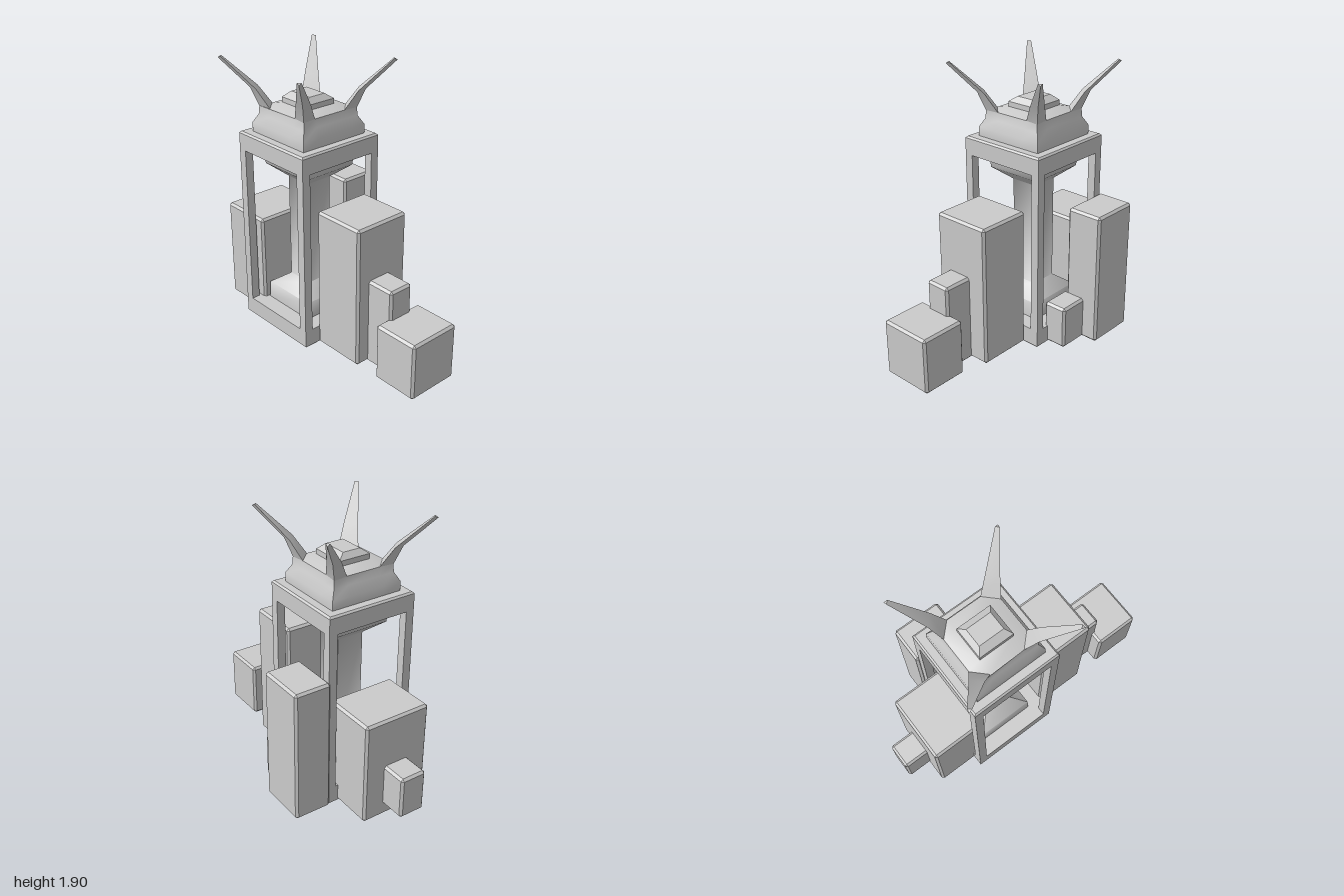
import * as THREE from 'three';
import { toCreasedNormals } from 'three/addons/utils/BufferGeometryUtils.js';
import { ConvexGeometry } from 'three/addons/geometries/ConvexGeometry.js';

const material = new THREE.MeshStandardMaterial({ color: 0xcccccc });
const V = (x, y, z) => new THREE.Vector3(x, y, z);

function add(parent, name, geometry, x = 0, y = 0, z = 0) {
  const mesh = new THREE.Mesh(geometry, material);
  mesh.name = name;
  mesh.position.set(x, y, z);
  parent.add(mesh);
  return mesh;
}

// Skin over rings listed upward, each counterclockwise from above
function loft(rings, crease = 0.5) {
  const pos = [];
  const tri = (a, b, c) => {
    const n = b.clone().sub(a).cross(c.clone().sub(a));
    if (n.length() > 1e-9) for (const p of [a, b, c]) pos.push(p.x, p.y, p.z);
  };
  const n = rings[0].length, last = rings[rings.length - 1];
  for (let r = 0; r < rings.length - 1; r++) {
    for (let i = 0; i < n; i++) {
      const j = (i + 1) % n;
      tri(rings[r][i], rings[r][j], rings[r + 1][j]);
      tri(rings[r][i], rings[r + 1][j], rings[r + 1][i]);
    }
  }
  for (let i = 1; i < n - 1; i++) {
    tri(rings[0][0], rings[0][i + 1], rings[0][i]);
    tri(last[0], last[i], last[i + 1]);
  }
  const geometry = new THREE.BufferGeometry();
  geometry.setAttribute('position', new THREE.Float32BufferAttribute(pos, 3));
  return toCreasedNormals(geometry, crease);
}

const square = (h, y) => [V(h, y, h), V(h, y, -h), V(-h, y, -h), V(-h, y, h)];

// Octagon; with sx = hx and sz = hz it becomes a rectangle
const octagon = (hx, hz, sx, sz, y) => [
  V(sx, y, hz), V(hx, y, sz), V(hx, y, -sz), V(sx, y, -hz),
  V(-sx, y, -hz), V(-hx, y, -sz), V(-hx, y, sz), V(-sx, y, hz)];

// Square with two extra points on each side
function sidedSquare(h, side, y, corner = h) {
  const o = octagon(h, h, side, side, y), k = corner;
  return [o[0], V(k, y, k), o[1], o[2], V(k, y, -k), o[3],
    o[4], V(-k, y, -k), o[5], o[6], V(-k, y, k), o[7]];
}

function chamferBox(w, h, d, c = 0.016) {
  const points = [];
  for (const x of [-1, 1]) for (const y of [-1, 1]) for (const z of [-1, 1]) {
    const a = x * w / 2, b = y * h / 2, e = z * d / 2;
    points.push(V(a, b - y * c, e - z * c), V(a - x * c, b, e - z * c), V(a - x * c, b - y * c, e));
  }
  return new ConvexGeometry(points);
}

export function createModel() {
  const model = new THREE.Group();
  const tower = new THREE.Group();
  tower.name = 'tower';
  tower.position.set(-0.205, 0, 0.095);
  model.add(tower);

  // Open frame: base, roof slab and four posts
  const H = 0.325;
  add(tower, 'towerBase', loft([square(H - 0.01, 0), square(H, 0.01), square(H, 0.13)]));
  add(tower, 'towerRoof', loft([square(H, 1.27), square(H, 1.385), square(H - 0.012, 1.397)]));
  for (const x of [-1, 1]) for (const z of [-1, 1]) {
    add(tower, 'post', new THREE.BoxGeometry(0.06, 1.14, 0.06), x * 0.295, 0.7, z * 0.295);
  }

  // Flared inner column
  const profile = [[0.21, 0.13], [0.205, 0.25], [0.097, 0.33], [0.097, 1.08], [0.205, 1.17], [0.215, 1.27]];
  add(tower, 'column', loft(profile.map(([h, y]) => square(h, y)), 1));

  // Crown: waisted body, stepped cap and four corner horns
  add(tower, 'crownBody', loft([
    sidedSquare(0.26, 0.125, 1.395), sidedSquare(0.26, 0.125, 1.46),
    sidedSquare(0.228, 0.125, 1.52), sidedSquare(0.215, 0.125, 1.575, 0.225)], 0.7));
  add(tower, 'crownCap', loft([
    octagon(0.215, 0.215, 0.125, 0.125, 1.574), octagon(0.125, 0.115, 0.125, 0.115, 1.6),
    octagon(0.125, 0.115, 0.125, 0.115, 1.635), octagon(0.09, 0.065, 0.09, 0.065, 1.672)]));
  const horn = loft([
    [V(0.125, 1.574, 0.215), V(0.225, 1.574, 0.225), V(0.215, 1.574, 0.125)],
    [V(0.2, 1.70, 0.265), V(0.265, 1.70, 0.265), V(0.265, 1.70, 0.2)],
    [V(0.38, 1.905, 0.4), V(0.405, 1.895, 0.405), V(0.4, 1.905, 0.38)]]);
  for (let i = 0; i < 4; i++) add(tower, 'horn', horn).rotation.y = i * Math.PI / 2;

  // Surrounding blocks: name, x range, y range, z range
  const blocks = [
    ['tallLeftBlock', 0.115, 0.505, 0.005, 1.0, -0.115, 0.305],
    ['slimLeftBlock', 0.48, 0.705, 0, 0.615, 0.025, 0.21],
    ['outerLeftBlock', 0.67, 1.0, 0.01, 0.41, -0.075, 0.305],
    ['tallRightBlock', -0.82, -0.425, 0.01, 0.745, -0.15, 0.34],
    ['outerRightBlock', -1.0, -0.8, 0.1, 0.4, 0, 0.19],
    ['tallBackBlock', -0.55, -0.195, 0.005, 0.955, -0.49, -0.225],
    ['smallBackBlock', -0.21, 0.01, 0.005, 0.31, -0.375, -0.2]];
  for (const [name, x0, x1, y0, y1, z0, z1] of blocks) {
    add(model, name, chamferBox(x1 - x0, y1 - y0, z1 - z0), (x0 + x1) / 2, (y0 + y1) / 2, (z0 + z1) / 2);
  }
  return model;
}
